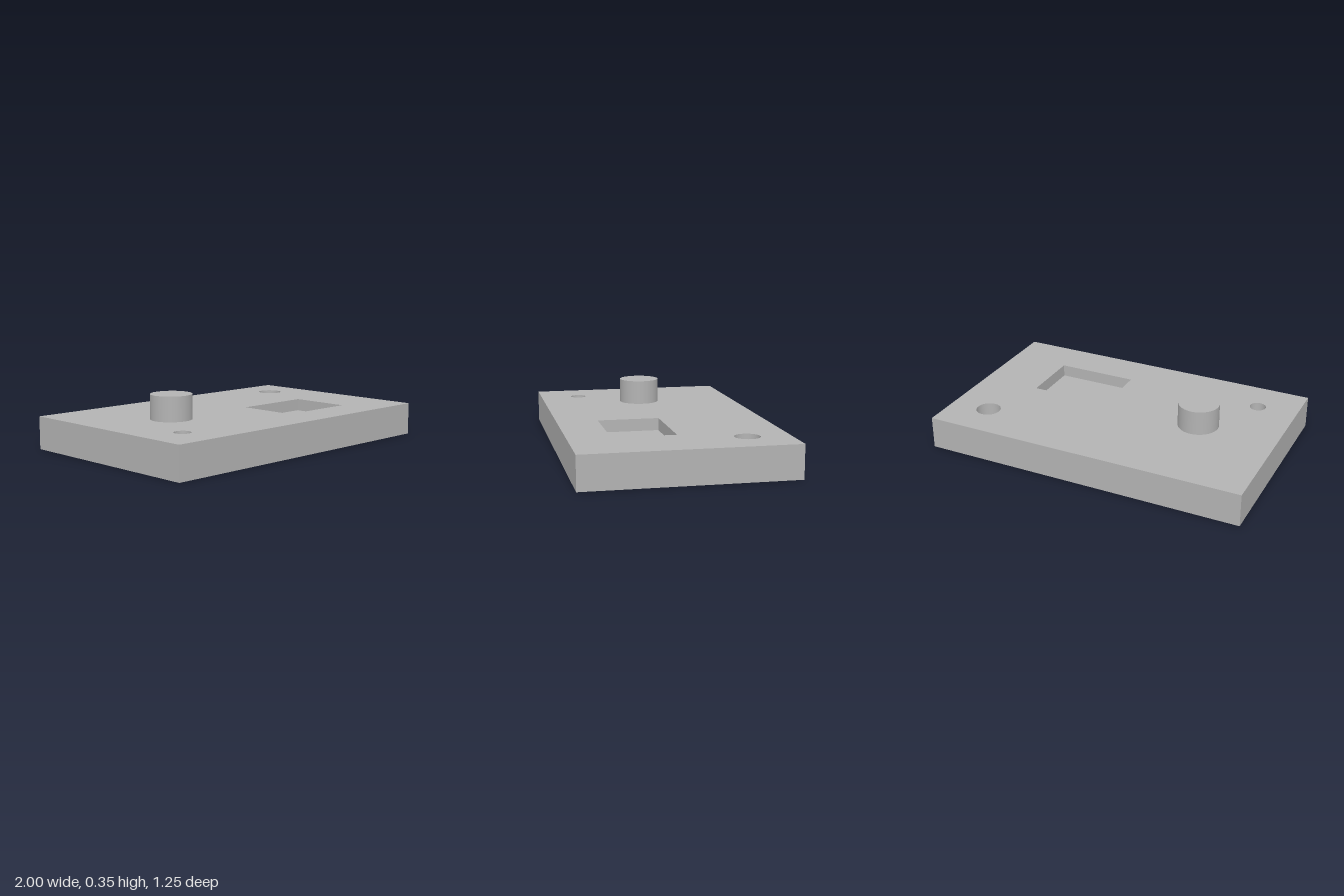
import * as THREE from 'three';

const W = 2, D = 1.25, H = 0.2, SEG = 48;
const boss = { x: -0.5, z: 0, r: 0.125, top: 0.35 };
const throughHole = { x: 0.75, z: -0.375, r: 0.075 };
const blindHole = { x: -0.75, z: 0.375, r: 0.05, floor: 0.075 };
const pocket = { x: 0.375, z: 0.1875, w: 0.5, d: 0.375, floor: 0.125 };

export function createModel() {
  const model = new THREE.Group();
  const grey = new THREE.MeshStandardMaterial({ color: 0xb3b3b3 });
  grey.name = 'grey';

  function add(parent, name, geometry, x = 0, y = 0, z = 0) {
    const mesh = new THREE.Mesh(geometry, grey);
    mesh.name = name;
    mesh.position.set(x, y, z);
    parent.add(mesh);
    return mesh;
  }
  function part(name) {
    const group = new THREE.Group();
    group.name = name;
    model.add(group);
    return group;
  }

  // Rectangle and circle outlines; zSign maps z onto the shape's y axis
  function rect(target, x, y, w, d) {
    target.moveTo(x - w / 2, y - d / 2);
    target.lineTo(x + w / 2, y - d / 2);
    target.lineTo(x + w / 2, y + d / 2);
    target.lineTo(x - w / 2, y + d / 2);
    target.closePath();
    return target;
  }
  const circle = (c, zSign) =>
    new THREE.Path().absarc(c.x, c.z * zSign, c.r, 0, Math.PI * 2);

  // Four upright walls around a rectangle, facing out (1) or in (-1)
  function walls(parent, name, x, z, w, d, y0, y1, facing) {
    for (let i = 0; i < 4; i++) {
      const angle = i * Math.PI / 2;
      const [length, reach] = i % 2 ? [d, w / 2] : [w, d / 2];
      const wall = add(parent, name, new THREE.PlaneGeometry(length, y1 - y0),
        x + Math.sin(angle) * reach, (y0 + y1) / 2, z + Math.cos(angle) * reach);
      wall.rotation.y = facing > 0 ? angle : angle + Math.PI;
    }
  }
  // Round wall: a rising profile faces out, a falling one faces in
  const roundWall = (r, from, to) => new THREE.LatheGeometry(
    [new THREE.Vector2(r, from), new THREE.Vector2(r, to)], SEG);
  const disc = r => new THREE.CircleGeometry(r, SEG).rotateX(-Math.PI / 2);

  // Plate: top and bottom faces with cut-outs, and the outer sides
  const plate = part('plate');
  const topShape = rect(new THREE.Shape(), 0, 0, W, D);
  topShape.holes.push(
    circle(boss, -1), circle(throughHole, -1), circle(blindHole, -1),
    rect(new THREE.Path(), pocket.x, -pocket.z, pocket.w, pocket.d));
  add(plate, 'plateTop',
    new THREE.ShapeGeometry(topShape, SEG / 2).rotateX(-Math.PI / 2), 0, H, 0);
  const bottomShape = rect(new THREE.Shape(), 0, 0, W, D);
  bottomShape.holes.push(circle(throughHole, 1));
  add(plate, 'plateBottom',
    new THREE.ShapeGeometry(bottomShape, SEG / 2).rotateX(Math.PI / 2));
  walls(plate, 'plateSide', 0, 0, W, D, 0, H, 1);

  // Rectangular pocket
  const recess = part('pocket');
  walls(recess, 'pocketWall', pocket.x, pocket.z, pocket.w, pocket.d, pocket.floor, H, -1);
  add(recess, 'pocketFloor',
    new THREE.PlaneGeometry(pocket.w, pocket.d).rotateX(-Math.PI / 2),
    pocket.x, pocket.floor, pocket.z);

  // Through hole
  add(model, 'throughHole', roundWall(throughHole.r, H, 0), throughHole.x, 0, throughHole.z);

  // Blind hole
  const blind = part('blindHole');
  add(blind, 'blindHoleWall', roundWall(blindHole.r, H, blindHole.floor),
    blindHole.x, 0, blindHole.z);
  add(blind, 'blindHoleFloor', disc(blindHole.r), blindHole.x, blindHole.floor, blindHole.z);

  // Raised round boss
  const post = part('boss');
  add(post, 'bossSide', roundWall(boss.r, H, boss.top), boss.x, 0, boss.z);
  add(post, 'bossTop', disc(boss.r), boss.x, boss.top, boss.z);

  return model;
}
